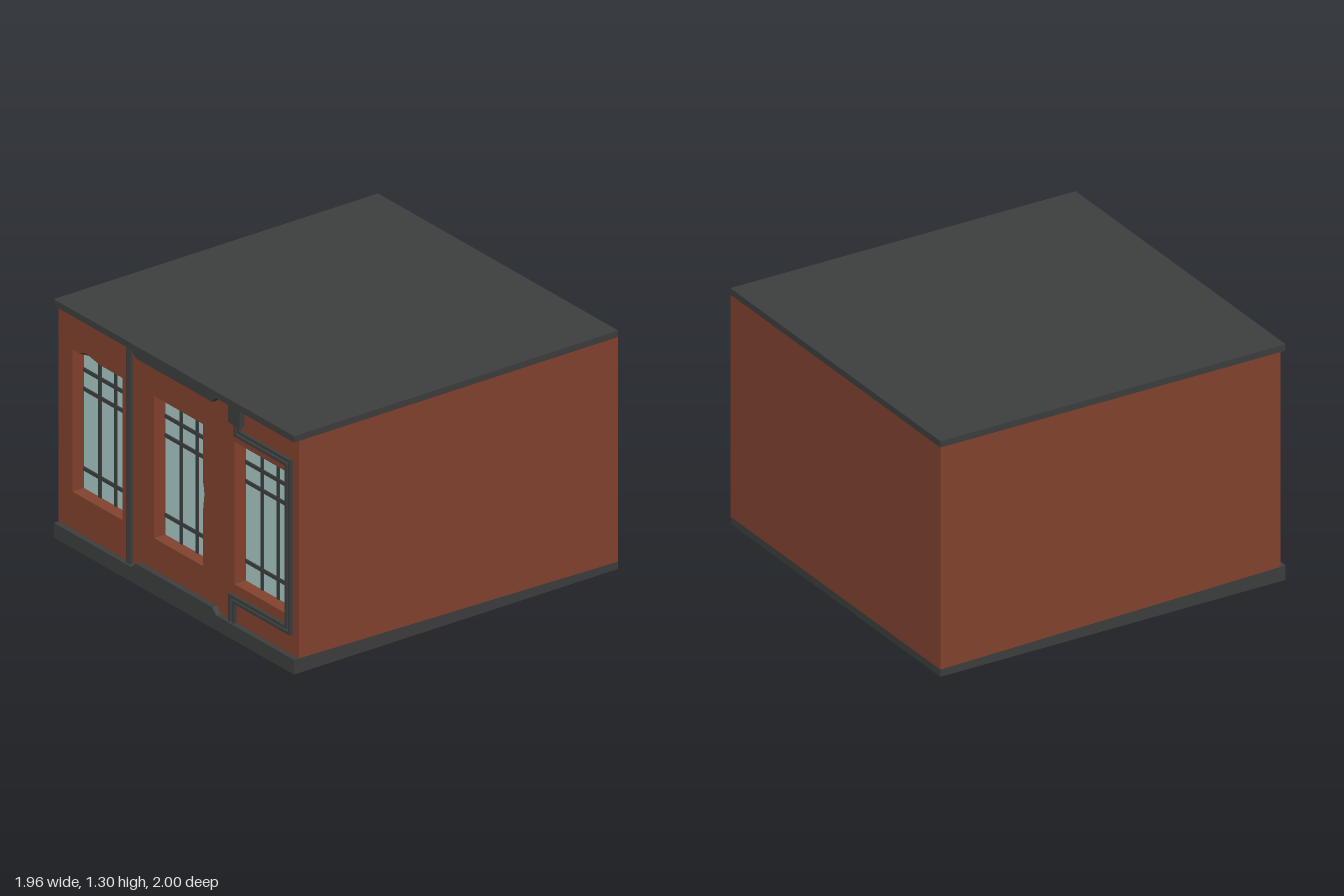
import * as THREE from 'three';

const brick = new THREE.MeshStandardMaterial({ color: 0x85442f, side: THREE.DoubleSide });
brick.name = 'brick red';
const trim = new THREE.MeshStandardMaterial({ color: 0x3e3f3f });
trim.name = 'charcoal trim';
const pane = new THREE.MeshStandardMaterial({ color: 0xaed0cc });
pane.name = 'pale glass';

const W = 0.98, FACE = 0.97, BACK = 0.89, TOP = 1.265, PLINTH = 0.08;

export function createModel() {
  const model = new THREE.Group();
  model.name = 'building';

  const add = (name, geo, mat, parent = model) => {
    const mesh = new THREE.Mesh(geo, mat);
    mesh.name = name;
    parent.add(mesh);
    return mesh;
  };
  // Box given by its limits on each axis
  const box = (name, mat, x0, x1, y0, y1, z0, z1, parent) => {
    const g = new THREE.BoxGeometry(x1 - x0, y1 - y0, z1 - z0);
    g.translate((x0 + x1) / 2, (y0 + y1) / 2, (z0 + z1) / 2);
    return add(name, g, mat, parent);
  };
  // Lets the seam between plinth and wall fall gently to the back
  const slopeSeam = (geo) => {
    const p = geo.attributes.position;
    for (let i = 0; i < p.count; i++) {
      if (Math.abs(p.getY(i) - PLINTH) < 1e-4) p.setY(i, 0.06 + 0.02 * p.getZ(i));
    }
    geo.computeVertexNormals();
  };
  const toVectors = (pts) => pts.map(([x, y]) => new THREE.Vector2(x, y));

  // Roof, plinth and main body
  box('roof', trim, -W, W, TOP, 1.3, -1, 1);
  slopeSeam(box('plinth', trim, -W, W, 0, PLINTH, -1, 1).geometry);
  slopeSeam(box('body', brick, -W, W, PLINTH, TOP, -1, BACK).geometry);

  // Window openings; two have a chipped edge
  const y0 = 0.285, y1 = 1.06;
  const topChip = [[-0.64, y1], [-0.70, 1.07], [-0.75, 1.08], [-0.78, 1.075], [-0.81, y1]];
  const sideChip = [[0.197, 0.57], [0.202, 0.62], [0.21, 0.68], [0.204, 0.72], [0.197, 0.75]];
  const windows = [
    { x0: -0.867, x1: -0.457, bars: [-0.73, -0.602], top: topChip },
    { x0: -0.2, x1: 0.197, bars: [-0.066, 0.062], side: sideChip },
    { x0: 0.455, x1: 0.865, bars: [0.594, 0.723] },
  ];

  // Front wall with the openings cut out
  const wall = new THREE.Shape(toVectors([[-W, PLINTH], [W, PLINTH], [W, TOP], [-W, TOP]]));
  for (const w of windows) {
    wall.holes.push(new THREE.Path(toVectors([
      [w.x0, y0], [w.x1, y0], ...(w.side || []), [w.x1, y1], ...(w.top || []), [w.x0, y1],
    ])));
  }
  const wallGeo = new THREE.ExtrudeGeometry(wall, { depth: FACE - BACK, bevelEnabled: false });
  wallGeo.translate(0, 0, BACK);
  slopeSeam(wallGeo);
  add('frontWall', wallGeo, brick);

  // Sloping broken surface behind each chip, with the jamb below it
  for (const chip of [topChip, sideChip]) {
    const first = chip[0], last = chip[chip.length - 1];
    const deep = [(first[0] + last[0]) / 2, (first[1] + last[1]) / 2, 0.935];
    const pts = [];
    for (let i = 0; i < chip.length - 1; i++) {
      pts.push(...chip[i], FACE, ...chip[i + 1], FACE, ...deep);
    }
    const a = [...first, FACE], b = [...last, FACE], c = [...first, BACK], d = [...last, BACK];
    pts.push(...a, ...deep, ...c, ...deep, ...d, ...c, ...deep, ...b, ...d);
    const g = new THREE.BufferGeometry();
    g.setAttribute('position', new THREE.Float32BufferAttribute(pts, 3));
    g.computeVertexNormals();
    add('chippedEdge', g, brick);
  }

  // Glass and glazing bars
  for (const w of windows) {
    const group = new THREE.Group();
    group.name = 'window';
    model.add(group);
    box('glass', pane, w.x0, w.x1, y0, y1, BACK + 0.002, 0.9, group);
    for (const x of w.bars) box('uprightBar', trim, x - 0.01, x + 0.01, y0, y1, 0.899, 0.907, group);
    for (const y of [0.395, 0.83, 0.935]) {
      box('crossBar', trim, w.x0 + 0.003, w.x1 - 0.003, y - 0.01, y + 0.01, 0.899, 0.908, group);
    }
  }

  // Tapered centre tabs on the roof edge and plinth
  for (const [y, dir] of [[TOP, -1], [PLINTH, 1]]) {
    const shape = new THREE.Shape(toVectors([
      [-0.345, y], [0.345, y], [0.312, y + dir * 0.033], [-0.312, y + dir * 0.033],
    ]));
    const g = new THREE.ExtrudeGeometry(shape, { depth: 0.03, bevelEnabled: false });
    g.translate(0, 0, FACE);
    add('centreTab', g, trim);
  }

  // Grooved downpipe
  box('downpipeCore', trim, -0.405, -0.375, PLINTH, TOP, FACE, 0.98);
  for (const x of [-0.4, -0.38]) box('downpipeRib', trim, x - 0.005, x + 0.005, PLINTH, TOP, FACE, 0.988);

  // Junction box and two parallel conduits stepping around the right window
  box('junctionBox', trim, 0.44, 0.537, 1.172, TOP, FACE, 1);
  const h = 0.008;
  const conduits = [
    [[0.479, 1.18], [0.479, 1.11], [0.895, 1.11], [0.895, 0.221], [0.436, 0.221], [0.436, PLINTH]],
    [[0.506, 1.18], [0.506, 1.136], [0.923, 1.136], [0.923, 0.197], [0.467, 0.197], [0.467, PLINTH]],
  ];
  for (const path of conduits) {
    const group = new THREE.Group();
    group.name = 'conduit';
    model.add(group);
    for (let i = 0; i < path.length - 1; i++) {
      const [ax, ay] = path[i], [bx, by] = path[i + 1];
      const end = i === path.length - 2 ? 0 : h;
      // Upright lengths cover the corners, level lengths fit between them
      if (ax === bx) {
        box('conduitRun', trim, ax - h, ax + h, Math.min(ay, by) - end, Math.max(ay, by) + h, FACE, 0.988, group);
      } else {
        box('conduitRun', trim, Math.min(ax, bx) + h, Math.max(ax, bx) - h, ay - h, ay + h, FACE, 0.988, group);
      }
    }
  }
  return model;
}
